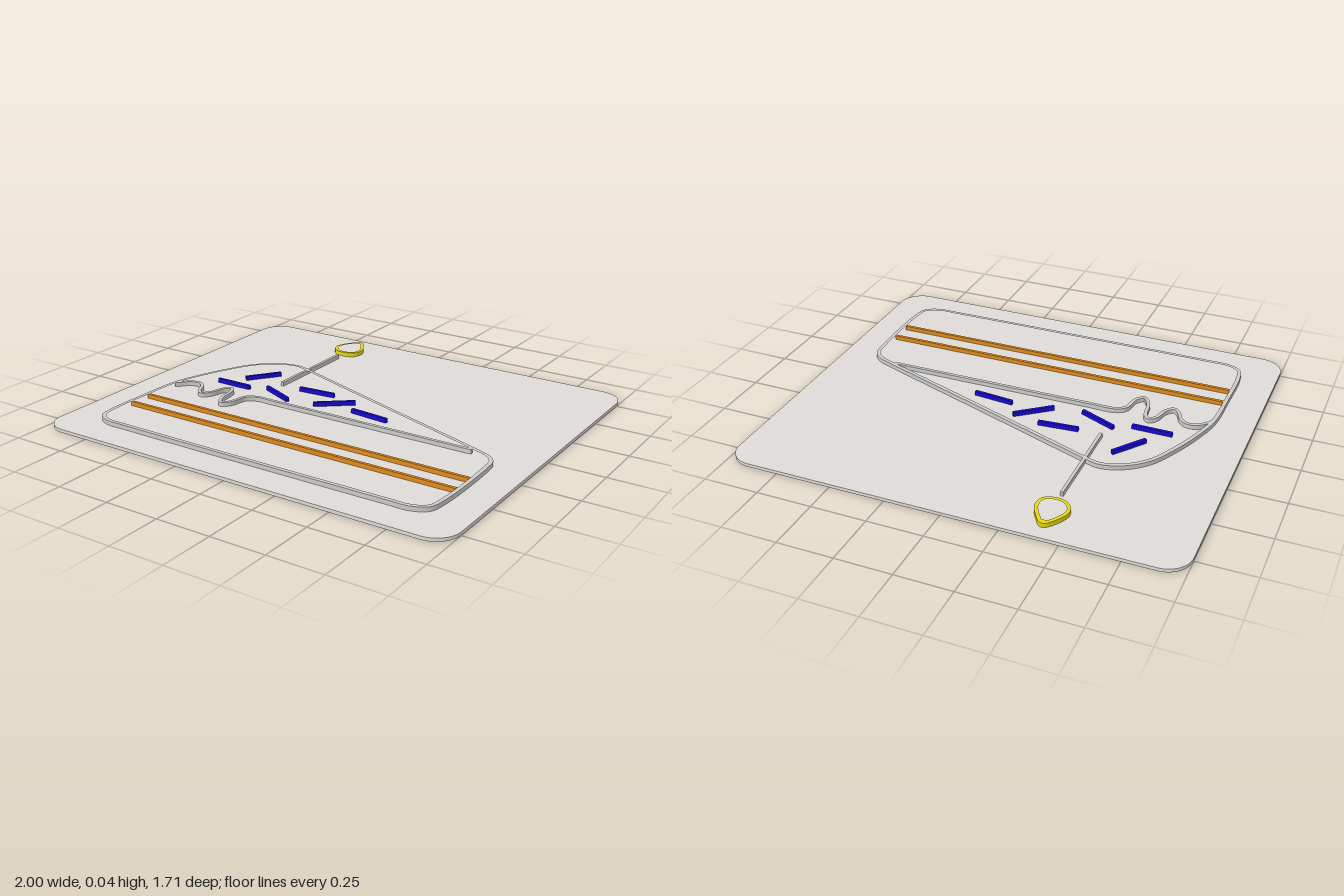
import * as THREE from 'three';

const PLATE_TOP = 0.015, LINE_TOP = 0.035;
const GREY = 0xcccccc, PLATE = 0xdedad7, ORANGE = 0xe08a1a, BLUE = 0x1408d0, YELLOW = 0xe6d616;

// Extrude a plan-view shape (drawn as x, -z) upward from y0 to y1
function slab(name, shape, y0, y1, color) {
  const geo = new THREE.ExtrudeGeometry(shape, { depth: y1 - y0, bevelEnabled: false, curveSegments: 10 });
  geo.rotateX(-Math.PI / 2).translate(0, y0, 0);
  const mesh = new THREE.Mesh(geo, new THREE.MeshStandardMaterial({ color }));
  mesh.name = name;
  return mesh;
}

// Raised line of constant width following a list of [x, z] points
function ridge(name, pts, color, { width = 0.016, closed = false, samples = 1 } = {}) {
  const curve = new THREE.CatmullRomCurve3(pts.map(([x, z]) => new THREE.Vector3(x, -z, 0)), closed);
  const left = [], right = [];
  const count = closed ? samples : samples + 1;
  for (let i = 0; i < count; i++) {
    const p = curve.getPoint(i / samples), t = curve.getTangent(i / samples);
    const nx = -t.y * width / 2, ny = t.x * width / 2;
    left.push(new THREE.Vector2(p.x + nx, p.y + ny));
    right.push(new THREE.Vector2(p.x - nx, p.y - ny));
  }
  let shape;
  if (closed) {
    // Points run clockwise in plan, so the left side is the outer one
    shape = new THREE.Shape(left);
    shape.holes.push(new THREE.Path(right));
  } else {
    shape = new THREE.Shape([...right, ...left.reverse()]);
  }
  return slab(name, shape, PLATE_TOP, LINE_TOP, color);
}

// Rounded rectangular base plate
function basePlate() {
  const w = 1, d = 0.857, r = 0.11, s = new THREE.Shape();
  s.absarc(w - r, d - r, r, 0, Math.PI / 2);
  s.absarc(r - w, d - r, r, Math.PI / 2, Math.PI);
  s.absarc(r - w, r - d, r, Math.PI, Math.PI * 1.5);
  s.absarc(w - r, r - d, r, Math.PI * 1.5, Math.PI * 2);
  return slab('basePlate', s, 0, PLATE_TOP, PLATE);
}

export function createModel() {
  const group = new THREE.Group();
  group.name = 'cakeSlicePlaque';
  group.add(basePlate());

  // Outline of the slice, with its domed top and rounded corners
  group.add(ridge('sliceOutline', [
    [-0.833, 0.6], [-0.833, 0.4], [-0.825, 0.19], [-0.79, 0.06], [-0.73, -0.09], [-0.66, -0.215],
    [-0.57, -0.29], [-0.475, -0.318], [-0.39, -0.295], [-0.28, -0.255], [0.2, -0.08], [0.72, 0.108],
    [0.79, 0.137], [0.828, 0.175], [0.838, 0.24], [0.838, 0.58], [0.82, 0.665], [0.76, 0.698],
    [0.65, 0.701], [-0.65, 0.701], [-0.765, 0.697], [-0.818, 0.665],
  ], GREY, { width: 0.018, closed: true, samples: 176 }));

  // Dripping edge of the icing
  group.add(ridge('icingEdge', [
    [-0.825, 0.185], [-0.77, 0.13], [-0.725, 0.122], [-0.69, 0.147], [-0.663, 0.2], [-0.637, 0.22],
    [-0.605, 0.19], [-0.583, 0.12], [-0.555, 0.098], [-0.535, 0.12], [-0.518, 0.215], [-0.487, 0.262],
    [-0.455, 0.235], [-0.433, 0.15], [-0.39, 0.123], [-0.28, 0.121], [0.71, 0.115],
  ], GREY, { samples: 128 }));

  // Two filling layers
  [0.365, 0.475].forEach((z, i) =>
    group.add(ridge('fillingLayer' + (i + 1), [[-0.828, z], [0.832, z]], ORANGE, { width: 0.014 })));

  // Candle and flame
  group.add(ridge('candle', [[-0.403, -0.57], [-0.403, -0.095]], GREY, { width: 0.014 }));
  group.add(ridge('flame', [
    [-0.405, -0.785], [-0.373, -0.75], [-0.342, -0.685], [-0.352, -0.637],
    [-0.405, -0.619], [-0.45, -0.635], [-0.473, -0.68], [-0.445, -0.748],
  ], YELLOW, { closed: true, samples: 48 }));

  // Sprinkles
  [
    [[-0.49, -0.205], [-0.595, -0.065]], [[-0.687, 0.024], [-0.505, 0.024]],
    [[-0.432, -0.018], [-0.265, 0.055]], [[-0.297, -0.09], [-0.115, -0.105]],
    [[-0.135, 0.037], [0.015, -0.083]], [[0.055, 0.006], [0.245, 0.024]],
  ].forEach((ends, i) => group.add(ridge('sprinkle' + (i + 1), ends, BLUE, { width: 0.015 })));

  return group;
}
